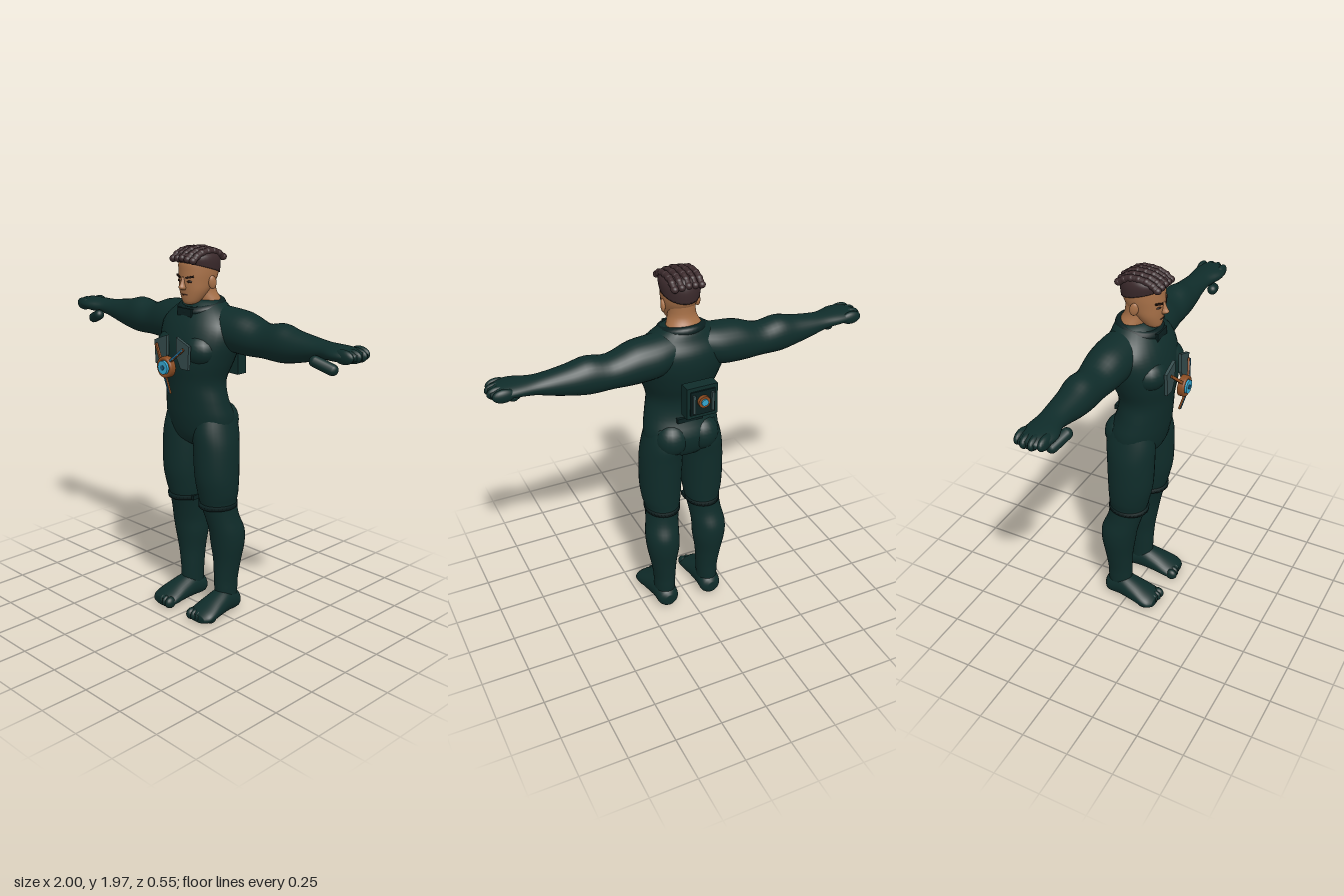
import * as THREE from 'three';

const mat = (name, color) => {
  const m = new THREE.MeshStandardMaterial({ color });
  m.name = name;
  return m;
};
const M = {
  suit: mat('dark teal suit', 0x0f2c2a),
  trim: mat('darker trim', 0x0a1f1f),
  skin: mat('skin', 0xa87148),
  hair: mat('brown hair', 0x3b2a2c),
  dark: mat('brow brown', 0x24160f),
  lip: mat('lips', 0x84503a),
  plate: mat('grey plate', 0x344b4c),
  gold: mat('bronze', 0x8a4c22),
  glow: mat('bright blue', 0x35a6d0),
  blue: mat('deep blue', 0x1c5f84),
};

// Catmull-Rom blend of one component
const blend = (a, b, c, d, t) =>
  b + 0.5 * t * (c - a + t * (2 * a - 5 * b + 4 * c - d + t * (3 * (b - c) + d - a)));

// Smooth closed tube of elliptical sections [t, c1, c2, r1, r2] along an axis, t rising.
// Cross axes are cyclic: x -> (y, z), y -> (z, x), z -> (x, y). side = -1 mirrors in x.
function loft(axis, rows, side = 1, steps = 4, n = 32) {
  const rings = [];
  for (let i = 0; i < rows.length - 1; i++) {
    const q = [rows[Math.max(i - 1, 0)], rows[i], rows[i + 1], rows[Math.min(i + 2, rows.length - 1)]];
    for (let k = 0; k < steps; k++) rings.push(rows[i].map((_, j) => blend(q[0][j], q[1][j], q[2][j], q[3][j], k / steps)));
  }
  rings.push(rows[rows.length - 1]);
  const pos = [], idx = [];
  const put = (t, u, v) => {
    const p = [0, 0, 0];
    p[axis] = t; p[(axis + 1) % 3] = u; p[(axis + 2) % 3] = v;
    pos.push(p[0] * side, p[1], p[2]);
  };
  const tri = (a, b, c) => (side > 0 ? idx.push(a, b, c) : idx.push(a, c, b));
  for (const [t, c1, c2, r1, r2] of rings)
    for (let j = 0; j < n; j++) {
      const a = (j / n) * Math.PI * 2;
      put(t, c1 + r1 * Math.cos(a), c2 + r2 * Math.sin(a));
    }
  for (let i = 0; i < rings.length - 1; i++)
    for (let j = 0; j < n; j++) {
      const a = i * n + j, b = i * n + (j + 1) % n;
      tri(a, b, a + n);
      tri(b, b + n, a + n);
    }
  const last = rings.length - 1, e0 = rings.length * n;
  put(...rings[0].slice(0, 3));
  put(...rings[last].slice(0, 3));
  for (let j = 0; j < n; j++) {
    const k = (j + 1) % n;
    tri(e0, k, j);
    tri(e0 + 1, last * n + j, last * n + k);
  }
  const g = new THREE.BufferGeometry();
  g.setAttribute('position', new THREE.Float32BufferAttribute(pos, 3));
  g.setIndex(idx);
  g.computeVertexNormals();
  return g;
}

export function createModel() {
  const root = new THREE.Group();
  root.name = 'figure';
  const add = (name, geo, material, p = [0, 0, 0], r = [0, 0, 0], parent = root) => {
    const m = new THREE.Mesh(geo, material);
    m.name = name;
    m.position.set(...p);
    m.rotation.set(...r);
    parent.add(m);
    return m;
  };
  const ball = (name, material, p, s, r) => add(name, new THREE.SphereGeometry(1, 20, 14), material, p, r).scale.set(...s);
  const box = (name, material, p, s, r, parent) => add(name, new THREE.BoxGeometry(...s), material, p, r, parent);
  const disc = (name, material, x, y, z, rad, depth) =>
    add(name, new THREE.CylinderGeometry(rad, rad, depth, 28), material, [x, y, z], [Math.PI / 2, 0, 0]);

  // Torso
  add('torso', loft(1, [
    [0.95, 0.01, 0, 0.06, 0.08], [1.0, 0.005, 0, 0.12, 0.18], [1.1, 0.008, 0, 0.145, 0.203],
    [1.2, 0.032, 0, 0.133, 0.186], [1.3, 0.04, 0, 0.136, 0.172], [1.4, 0.028, 0, 0.162, 0.205],
    [1.5, 0.01, 0, 0.17, 0.235], [1.58, -0.003, 0, 0.156, 0.235], [1.64, -0.008, 0, 0.125, 0.185],
    [1.69, -0.02, 0, 0.095, 0.115], [1.705, -0.02, 0, 0.07, 0.08]]), M.suit);
  add('collar', new THREE.TorusGeometry(0.1, 0.024, 12, 36), M.trim, [0, 1.67, 0.002], [Math.PI / 2 + 0.2, 0, 0]);
  box('collarClasp', M.trim, [0, 1.645, 0.1], [0.1, 0.045, 0.045]);
  box('backBelt', M.trim, [0, 1.2, -0.095], [0.14, 0.025, 0.03]);

  for (const s of [1, -1]) {
    const side = s > 0 ? 'left' : 'right';
    ball(side + 'Chest', M.suit, [s * 0.09, 1.47, 0.1], [0.1, 0.085, 0.088]);
    ball(side + 'Glute', M.suit, [s * 0.085, 1.08, -0.065], [0.09, 0.095, 0.082]);

    // Arm and mitten hand
    add(side + 'Arm', loft(0, [
      [0.06, 1.59, -0.03, 0.09, 0.1], [0.16, 1.568, -0.04, 0.107, 0.112], [0.28, 1.557, -0.042, 0.107, 0.107],
      [0.4, 1.54, -0.045, 0.086, 0.09], [0.51, 1.546, -0.045, 0.095, 0.087], [0.6, 1.543, -0.043, 0.078, 0.078],
      [0.7, 1.548, -0.043, 0.058, 0.068], [0.78, 1.555, -0.038, 0.042, 0.066], [0.87, 1.56, -0.024, 0.037, 0.083],
      [0.94, 1.56, -0.026, 0.033, 0.075], [0.985, 1.56, -0.03, 0.018, 0.045]], s), M.suit);
    for (let i = 0; i < 4; i++)
      ball(side + 'Finger', M.suit, [s * (0.945 - (i === 0 || i === 3 ? 0.015 : 0)), 1.56, -0.088 + i * 0.039], [0.055, 0.034, 0.022]);
    add(side + 'Thumb', new THREE.CapsuleGeometry(0.028, 0.09, 6, 14), M.suit, [s * 0.82, 1.503, 0.03], [0.3, s * 0.2, s * 1.15]);

    // Leg, knee band and foot
    add(side + 'Leg', loft(1, [
      [0.06, -0.055, 0.13, 0.062, 0.054], [0.14, -0.055, 0.13, 0.068, 0.057], [0.2, -0.055, 0.13, 0.07, 0.06],
      [0.3, -0.058, 0.135, 0.078, 0.072], [0.4, -0.058, 0.137, 0.093, 0.089], [0.48, -0.05, 0.138, 0.099, 0.091],
      [0.56, -0.025, 0.128, 0.094, 0.088], [0.64, -0.007, 0.118, 0.101, 0.092], [0.7, 0, 0.12, 0.11, 0.104],
      [0.8, 0.008, 0.12, 0.122, 0.112], [0.95, 0.008, 0.115, 0.128, 0.113], [1.05, 0.004, 0.107, 0.13, 0.104],
      [1.15, 0.01, 0.1, 0.1, 0.085]], s), M.suit);
    add(side + 'KneeBand', loft(1, [
      [0.622, -0.005, 0.118, 0.11, 0.095], [0.646, -0.003, 0.118, 0.11, 0.096]], s, 1), M.trim);
    box(side + 'KneeBuckle', M.trim, [s * 0.034, 0.635, 0.02], [0.03, 0.024, 0.05]);
    add(side + 'Foot', loft(2, [
      [-0.137, 0.13, 0.055, 0.025, 0.03], [-0.11, 0.13, 0.06, 0.058, 0.056], [-0.04, 0.133, 0.073, 0.063, 0.071],
      [0.04, 0.138, 0.062, 0.073, 0.06], [0.11, 0.141, 0.047, 0.082, 0.045], [0.15, 0.141, 0.038, 0.078, 0.035],
      [0.175, 0.141, 0.033, 0.055, 0.022]], s), M.suit);
    for (let i = 0; i < 5; i++)
      ball(side + 'Toe', M.suit, [s * (0.085 + i * 0.028), 0.037, 0.158 - i * i * 0.0025], [i ? 0.018 : 0.024, 0.032, 0.034]);

    // Ear, eye and brow
    ball(side + 'Ear', M.skin, [s * 0.09, 1.795, 0.015], [0.012, 0.034, 0.022], [0.15, s * -0.3, 0]);
    ball(side + 'Eye', M.dark, [s * 0.036, 1.802, 0.12], [0.015, 0.006, 0.005], [0, s * 0.35, 0]);
    box(side + 'Brow', M.dark, [s * 0.038, 1.824, 0.121], [0.042, 0.01, 0.009], [0, s * 0.38, s * 0.2]);

    // Chest plate
    const shape = new THREE.Shape([[0.035, 1.54], [0.125, 1.505], [0.118, 1.385], [0.065, 1.385], [0.035, 1.44]]
      .map(([x, y]) => new THREE.Vector2(s * x, y)));
    add(side + 'ChestPlate', new THREE.ExtrudeGeometry(shape, { depth: 0.016, bevelEnabled: false }), M.plate, [0, 0, 0.195]);
  }

  // Neck and head
  add('neck', loft(1, [
    [1.66, -0.04, 0, 0.08, 0.105], [1.7, -0.025, 0, 0.072, 0.09], [1.75, -0.005, 0, 0.067, 0.07],
    [1.82, 0, 0, 0.072, 0.07]]), M.skin);
  add('head', loft(1, [
    [1.685, 0.083, 0, 0.022, 0.022], [1.7, 0.073, 0, 0.044, 0.046], [1.75, 0.052, 0, 0.073, 0.074],
    [1.8, 0.03, 0, 0.1, 0.086], [1.85, 0.022, 0, 0.109, 0.092], [1.9, 0.02, 0, 0.108, 0.088],
    [1.935, 0.02, 0, 0.07, 0.06]]), M.skin);
  add('nose', loft(1, [
    [1.76, 0.125, 0, 0.014, 0.012], [1.772, 0.132, 0, 0.024, 0.018], [1.79, 0.127, 0, 0.02, 0.012],
    [1.825, 0.118, 0, 0.014, 0.009]], 1, 3, 16), M.skin);
  ball('mouth', M.lip, [0, 1.735, 0.117], [0.025, 0.006, 0.008]);
  box('mouthLine', M.dark, [0, 1.736, 0.123], [0.034, 0.0025, 0.005]);

  // Hair cap, its lower edge dropping towards the back
  const cap = loft(1, [
    [1.86, 0.022, 0, 0.113, 0.096], [1.9, 0.022, 0, 0.118, 0.1], [1.93, 0.022, 0, 0.105, 0.092],
    [1.95, 0.022, 0, 0.07, 0.065]]);
  const p = cap.attributes.position;
  for (let i = 0; i < p.count; i++) {
    const w = THREE.MathUtils.clamp((1.94 - p.getY(i)) / 0.08, 0, 1);
    p.setY(i, p.getY(i) + (p.getZ(i) - 0.02) * 0.3 * w);
  }
  cap.computeVertexNormals();
  add('hairCap', cap, M.hair);

  // Braids running front to back
  for (let i = -2; i <= 2; i++) {
    const x = i * 0.035, d = Math.abs(i) * 0.004;
    const path = new THREE.CatmullRomCurve3([[0.132, 1.915], [0.09, 1.942], [0.03, 1.953], [-0.03, 1.947], [-0.08, 1.918]]
      .map(([z, y]) => new THREE.Vector3(x, y - d, z * (1 - d * 4))));
    add('braid', new THREE.TubeGeometry(path, 20, 0.0165, 10), M.hair);
    for (let k = 0; k <= 6; k++) ball('braidKnot', M.hair, path.getPoint(k / 6).toArray(), [0.019, 0.018, 0.02]);
  }

  // Chest emblem: round lamp with three swept arms
  const cy = 1.39;
  disc('emblemBase', M.gold, 0, cy, 0.243, 0.054, 0.024);
  add('emblemRing', new THREE.TorusGeometry(0.044, 0.01, 10, 32), M.gold, [0, cy, 0.255]);
  disc('emblemLamp', M.glow, 0, cy, 0.261, 0.034, 0.022);
  disc('emblemCore', M.blue, 0, cy, 0.273, 0.012, 0.006);
  [45, 135, 270].forEach((deg, i) => {
    const arm = new THREE.Group();
    arm.name = 'emblemArm';
    arm.position.set(0, cy, 0.26);
    arm.rotation.z = THREE.MathUtils.degToRad(deg);
    root.add(arm);
    box('armBar', M.gold, [0.09, 0, -0.022], [0.105, 0.014, 0.01], [0, 0.3, 0], arm);
    if (i !== 1) box('armLight', M.blue, [0.092, 0, -0.016], [0.1, 0.009, 0.004], [0, 0.3, 0], arm);
  });

  // Back unit
  box('backUnit', M.suit, [0, 1.375, -0.21], [0.165, 0.17, 0.06]);
  box('backPanel', M.trim, [0, 1.375, -0.243], [0.13, 0.13, 0.01]);
  for (const x of [-0.05, 0.05]) box('backRail', M.plate, [x, 1.375, -0.252], [0.014, 0.1, 0.016]);
  disc('backDial', M.gold, 0, 1.385, -0.256, 0.031, 0.022);
  disc('backLamp', M.glow, 0, 1.385, -0.269, 0.018, 0.01);
  return root;
}
